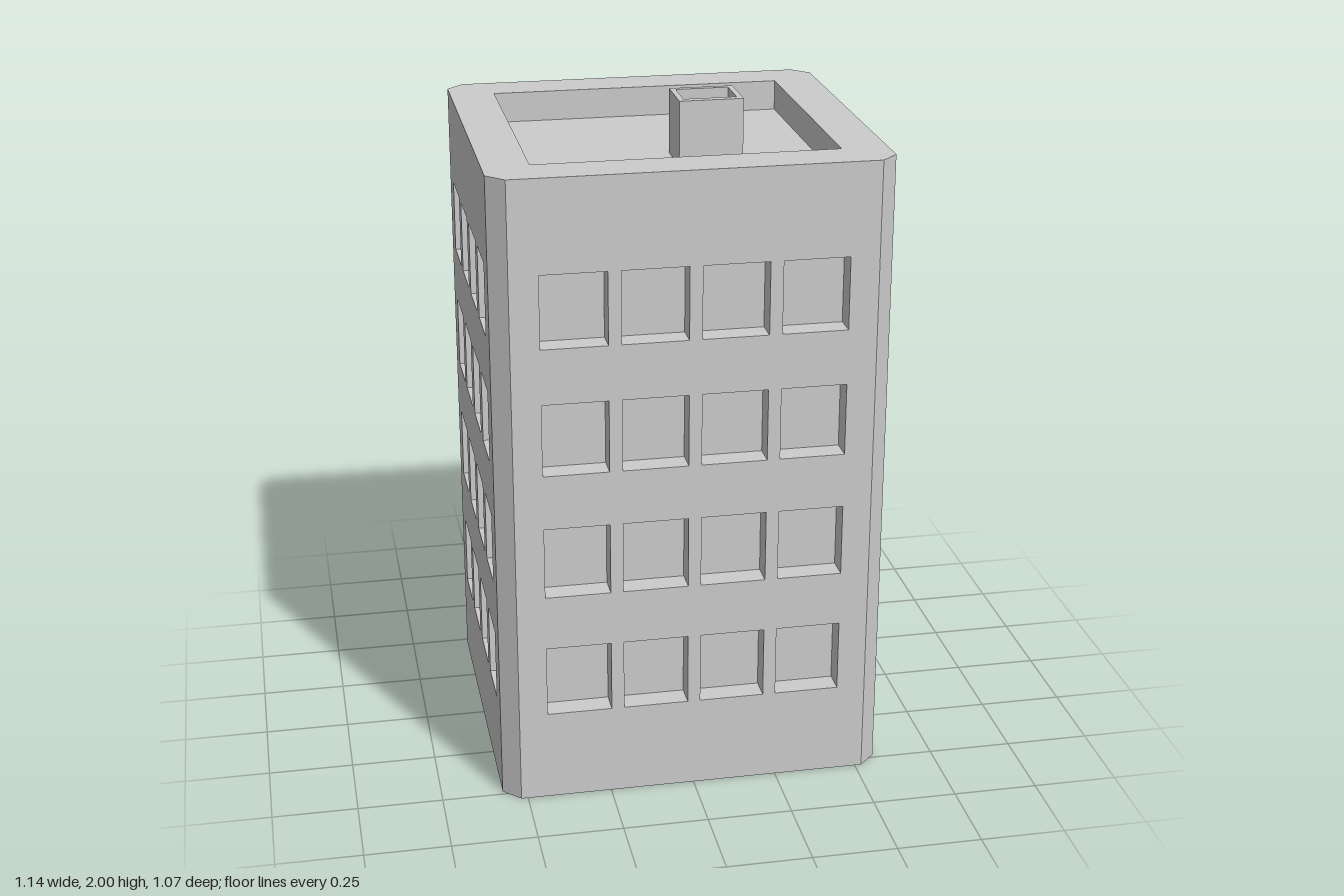
import * as THREE from 'three';

const HX = 0.57, HZ = 0.535, H = 1.9, CH = 0.05;   // half sizes, height, corner chamfer
const ROOF_Y = 1.81, WIN_H = 0.215, WIN_D = 0.07;

const material = new THREE.MeshStandardMaterial({ color: 0xcccccc, flatShading: true });

function addMesh(parent, name, geometry, x = 0, y = 0, z = 0) {
  const mesh = new THREE.Mesh(geometry, material);
  mesh.name = name;
  mesh.position.set(x, y, z);
  parent.add(mesh);
  return mesh;
}

// Rectangle outline centred on cx, cy
function rect(w, h, cx = 0, cy = 0, Type = THREE.Path) {
  const x = w / 2, y = h / 2;
  return new Type([[-x, -y], [x, -y], [x, y], [-x, y]].map(([a, b]) => new THREE.Vector2(cx + a, cy + b)));
}

// Box seen from inside, with one side left open (2 = top, 4 = front)
function recess(w, h, d, openSide) {
  const g = new THREE.BoxGeometry(w, h, d);
  const old = Array.from(g.index.array), index = [];
  for (let i = 0; i < old.length; i += 3) {
    if (Math.floor(i / 6) !== openSide) index.push(old[i], old[i + 2], old[i + 1]);
  }
  g.clearGroups();
  g.setIndex(index);
  const flat = g.toNonIndexed();
  flat.computeVertexNormals();
  return flat;
}

// Eight-sided footprint with cut corners
function footprint() {
  const x = HX - CH, z = HZ - CH;
  return new THREE.Shape([
    [x, -HZ], [HX, -z], [HX, z], [x, HZ], [-x, HZ], [-HX, z], [-HX, -z], [-x, -HZ],
  ].map(([a, b]) => new THREE.Vector2(a, b)));
}

// One wall facing +z with a 4 x 4 grid of recessed windows
function makeWall(name, halfWidth, winW, pitch) {
  const wall = new THREE.Group();
  wall.name = name;
  const shape = rect(2 * halfWidth, H, 0, H / 2, THREE.Shape);
  const niche = recess(winW, WIN_H, WIN_D, 4);
  for (let row = 0; row < 4; row++) {
    for (let col = 0; col < 4; col++) {
      const x = (col - 1.5) * pitch, y = 0.383 + row * 0.379;
      shape.holes.push(rect(winW, WIN_H, x, y));
      addMesh(wall, 'windowRecess', niche, x, y, -WIN_D / 2);
    }
  }
  addMesh(wall, 'wallFace', new THREE.ShapeGeometry(shape));
  return wall;
}

export function createModel() {
  const model = new THREE.Group();
  model.name = 'apartmentBlock';

  // Four walls
  ['frontWall', 'leftWall', 'backWall', 'rightWall'].forEach((name, i) => {
    const side = i % 2 === 1;
    const wall = side ? makeWall(name, HZ - CH, 0.16, 0.2133) : makeWall(name, HX - CH, 0.19, 0.2275);
    const angle = i * Math.PI / 2, dist = side ? HX : HZ;
    wall.rotation.y = angle;
    wall.position.set(Math.sin(angle) * dist, 0, Math.cos(angle) * dist);
    model.add(wall);
  });

  // Chamfered corners
  for (let i = 0; i < 4; i++) {
    const angle = Math.PI / 4 + i * Math.PI / 2;
    const corner = addMesh(model, 'cornerStrip', new THREE.PlaneGeometry(CH * Math.SQRT2, H),
      Math.sign(Math.sin(angle)) * (HX - CH / 2), H / 2, Math.sign(Math.cos(angle)) * (HZ - CH / 2));
    corner.rotation.y = angle;
  }

  // Base, parapet rim and sunken roof
  addMesh(model, 'base', new THREE.ShapeGeometry(footprint()).rotateX(Math.PI / 2));
  const rim = footprint();
  rim.holes.push(rect(0.874, 0.8));
  addMesh(model, 'parapetRim', new THREE.ShapeGeometry(rim).rotateX(-Math.PI / 2), 0, H, 0);
  addMesh(model, 'sunkenRoof', recess(0.874, H - ROOF_Y, 0.8, 2), 0, (H + ROOF_Y) / 2, 0);

  // Hollow chimney standing on the roof
  const chimney = rect(0.186, 0.154, 0, 0, THREE.Shape);
  chimney.holes.push(rect(0.154, 0.113, 0, 0.003));
  addMesh(model, 'chimney',
    new THREE.ExtrudeGeometry(chimney, { depth: 2 - ROOF_Y, bevelEnabled: false }).rotateX(-Math.PI / 2),
    0.113, ROOF_Y, 0.107);

  return model;
}
